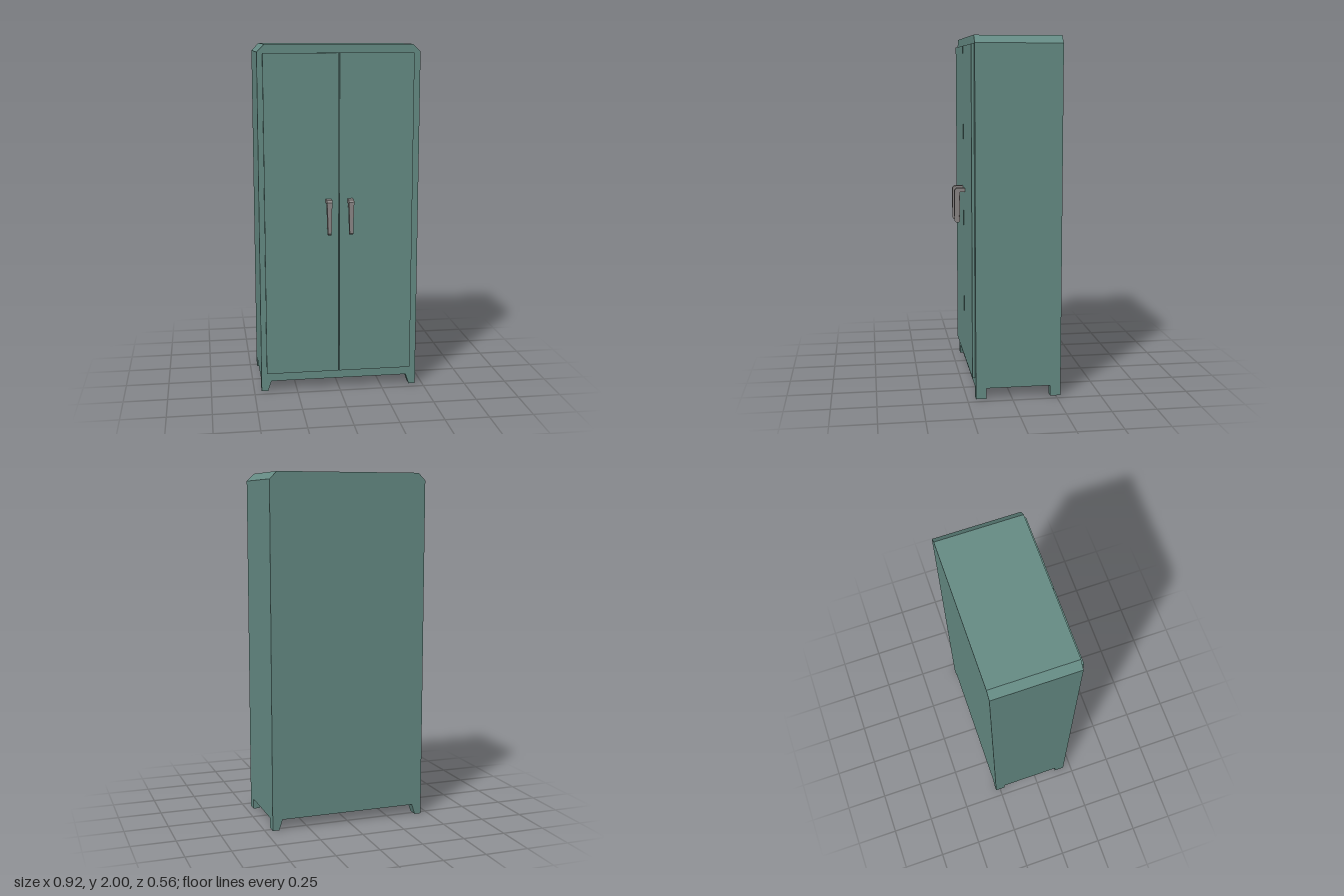
import * as THREE from 'three';

const green = new THREE.MeshStandardMaterial({ color: 0x668c85, flatShading: true });
const metal = new THREE.MeshStandardMaterial({ color: 0x8c8887, flatShading: true });

const HALF = 0.458, BACK = -0.278, FRONT = 0.202, BASE = 0.06;
const CENTER = -0.003; // middle of the door pair

// Extrudes a polygon along +z
function prism(points, depth) {
  const shape = new THREE.Shape(points.map(([x, y]) => new THREE.Vector2(x, y)));
  return new THREE.ExtrudeGeometry(shape, { depth, bevelEnabled: false });
}

function addMesh(parent, name, geometry, material) {
  const mesh = new THREE.Mesh(geometry, material);
  mesh.name = name;
  parent.add(mesh);
  return mesh;
}

// Hooked handle: side profile in (z, y), narrowing below the bend
function handleGeometry() {
  const width = 0.031;
  const geo = prism([
    [0.214, 1.138], [0.266, 1.138], [0.278, 1.126], [0.278, 1.08], [0.278, 0.947], [0.271, 0.938],
    [0.252, 0.938], [0.247, 0.943], [0.247, 1.08], [0.247, 1.115], [0.214, 1.115],
  ], width);
  geo.translate(0, 0, -width / 2).rotateY(-Math.PI / 2);
  const pos = geo.attributes.position;
  for (let i = 0; i < pos.count; i++) {
    const y = pos.getY(i);
    if (y < 1.1) pos.setX(i, pos.getX(i) * THREE.MathUtils.mapLinear(y, 0.938, 1.08, 0.66, 0.82));
  }
  geo.computeVertexNormals();
  return geo;
}

export function createModel() {
  const cabinet = new THREE.Group();
  cabinet.name = 'cabinet';

  // Carcass with chamfered top edges
  const c = 0.042;
  const body = prism([
    [-HALF, BASE], [HALF, BASE], [HALF, 2 - c], [HALF - c, 2], [-HALF + c, 2], [-HALF, 2 - c],
  ], FRONT - BACK);
  addMesh(cabinet, 'body', body, green).position.z = BACK;

  // Four feet, slanted on the inner side
  const footDepth = 0.06;
  for (const side of [-1, 1]) {
    for (const [label, z] of [['front', FRONT - footDepth], ['back', BACK]]) {
      const foot = prism([
        [side * HALF, 0], [side * (HALF - 0.038), 0], [side * (HALF - 0.058), BASE], [side * HALF, BASE],
      ], footDepth);
      addMesh(cabinet, label + (side > 0 ? 'LeftFoot' : 'RightFoot'), foot, green).position.z = z;
    }
  }

  // Two doors with their handles
  const gap = 0.005, doorWidth = 0.4215, bottom = 0.11, top = 1.953, thickness = 0.015;
  for (const side of [-1, 1]) {
    const prefix = side > 0 ? 'left' : 'right';
    const door = new THREE.BoxGeometry(doorWidth, top - bottom, thickness);
    addMesh(cabinet, prefix + 'Door', door, green)
      .position.set(CENTER + side * (gap + doorWidth) / 2, (top + bottom) / 2, FRONT + thickness / 2);
    addMesh(cabinet, prefix + 'Handle', handleGeometry(), metal).position.x = CENTER + side * 0.062;
  }

  return cabinet;
}
